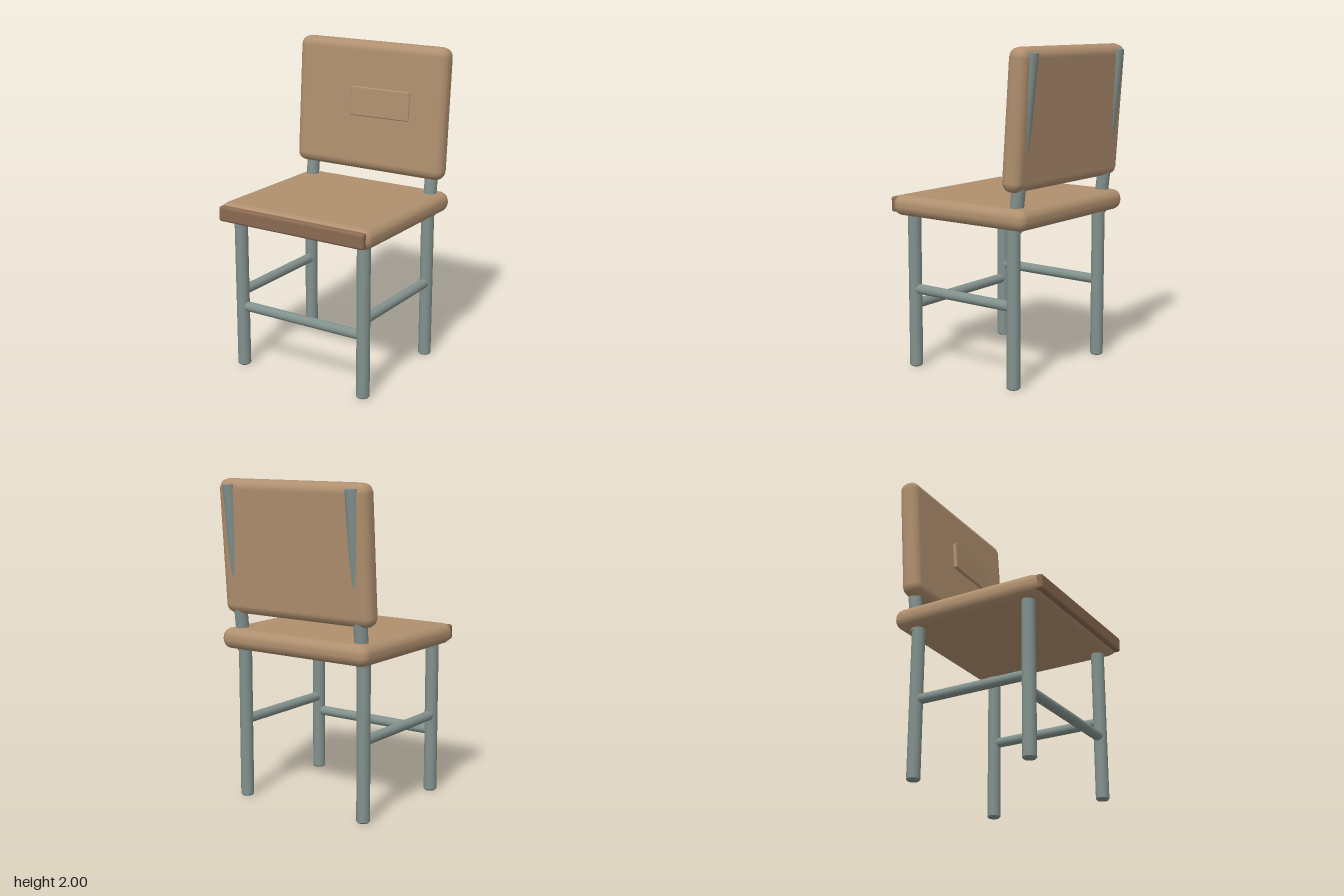
import * as THREE from 'three';
import { RoundedBoxGeometry } from 'three/addons/geometries/RoundedBoxGeometry.js';

const LEG_X = 0.445, FRONT_Z = 0.397, REAR_Z = -0.367, LEG_R = 0.041;

const makeMaterial = (name, color) => {
  const m = new THREE.MeshStandardMaterial({ color });
  m.name = name;
  return m;
};

export function createModel() {
  const chair = new THREE.Group();
  chair.name = 'chair';
  const wood = makeMaterial('tan wood', 0xb0906f);
  const darkWood = makeMaterial('dark edge wood', 0x8a6a52);
  const metal = makeMaterial('grey green metal', 0x82918d);

  const add = (name, geometry, material) => {
    const mesh = new THREE.Mesh(geometry, material);
    mesh.name = name;
    chair.add(mesh);
    return mesh;
  };

  const pad = (name, size, segments, radius, position, material) => {
    const mesh = add(name, new RoundedBoxGeometry(...size, segments, radius), material);
    mesh.position.set(...position);
    return mesh;
  };

  // Straight round bar between two points
  const bar = (name, from, to, radius) => {
    const a = new THREE.Vector3(...from), b = new THREE.Vector3(...to);
    const dir = b.clone().sub(a);
    const mesh = add(name, new THREE.CylinderGeometry(radius, radius, dir.length(), 20), metal);
    mesh.position.copy(a).add(b).multiplyScalar(0.5);
    mesh.quaternion.setFromUnitVectors(new THREE.Vector3(0, 1, 0), dir.normalize());
  };

  // Leg with a softened foot
  const leg = (name, x, z) => {
    const r = LEG_R;
    const profile = [[0, 0], [r - 0.007, 0], [r - 0.007, 0], [r, 0.008], [r, 0.008], [r, 1], [r, 1], [0, 1]]
      .map(([px, py]) => new THREE.Vector2(px, py));
    add(name, new THREE.LatheGeometry(profile, 20), metal).position.set(x, 0, z);
  };

  // Seat and its front edge strip
  pad('seat', [1.08, 0.13, 1.01], 2, 0.06, [0, 1.02, 0.006], wood);
  pad('seatFrontEdge', [1.035, 0.095, 0.05], 2, 0.015, [0, 1.022, 0.502], darkWood);

  // Leaning backrest with a slightly askew plaque
  pad('backrest', [1.08, 0.825, 0.13], 2, 0.06, [0, 1.585, -0.417], wood).rotation.x = -0.07;
  pad('plaque', [0.415, 0.185, 0.027], 2, 0.008, [0.097, 1.622, -0.349], wood)
    .rotation.set(-0.07, 0.044, 0);

  // Legs, back posts and side rungs on both sides
  for (const [side, s] of [['left', 1], ['right', -1]]) {
    const x = s * LEG_X;
    leg(`${side}FrontLeg`, x, FRONT_Z);
    leg(`${side}RearLeg`, x, REAR_Z);
    bar(`${side}BackPost`, [x, 0.94, -0.375], [x, 1.965, -0.493], LEG_R);
    bar(`${side}SideRung`, [x, 0.495, FRONT_Z], [x, 0.495, REAR_Z], 0.031);
  }

  // Rung between the front legs
  bar('frontRung', [-LEG_X, 0.397, FRONT_Z], [LEG_X, 0.397, FRONT_Z], 0.031);

  return chair;
}
